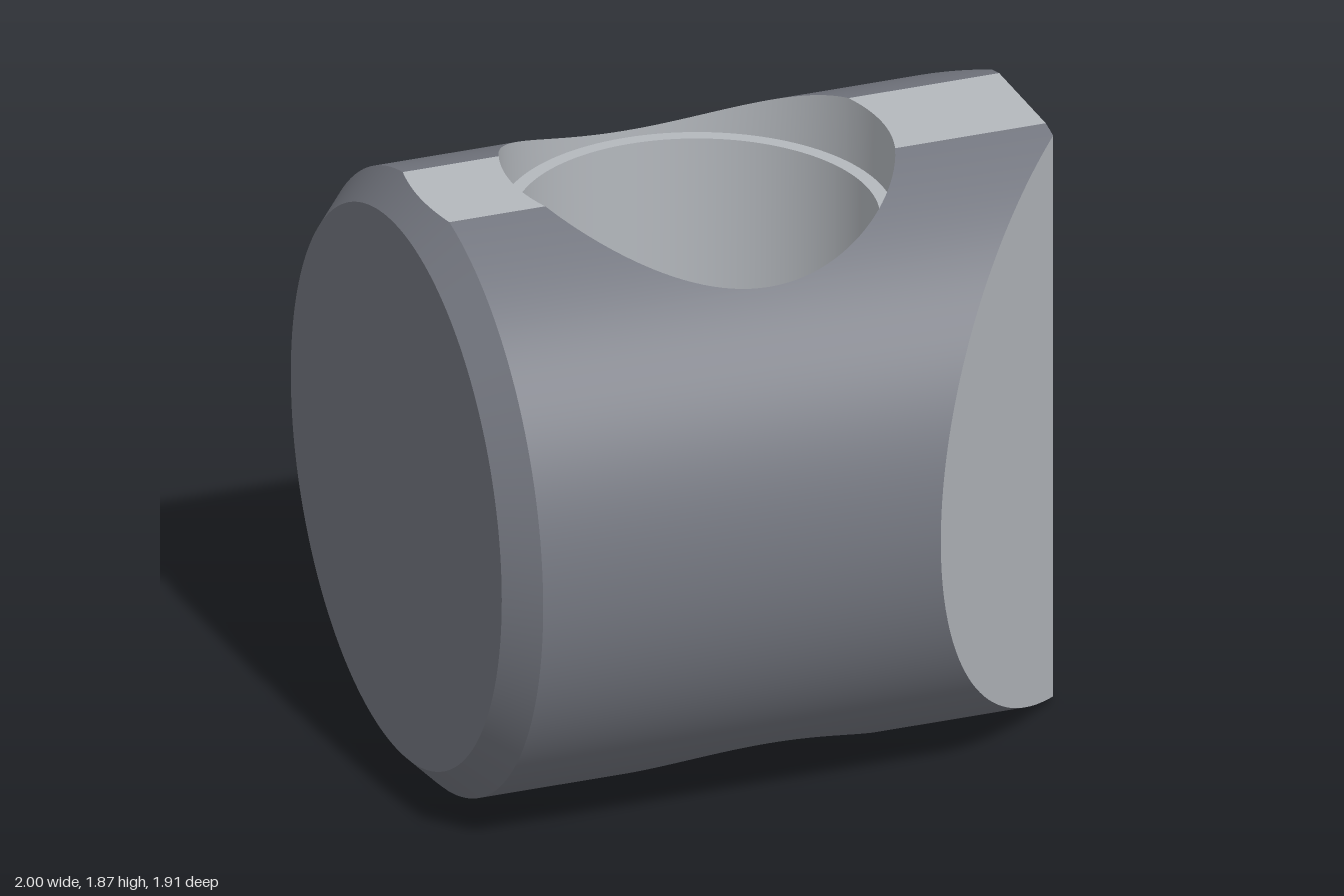
import * as THREE from 'three';
import { toCreasedNormals } from 'three/addons/utils/BufferGeometryUtils.js';

const R = 0.953;          // barrel radius (axis along x)
const FLAT = 0.934;       // half height, cut by the top and bottom flats
const FLAT_Z = Math.sqrt(R * R - FLAT * FLAT); // half width of the flats
const CHAMFER = 0.095;    // chamfer at the round end
const HOLE_X = -0.04;     // centre of the vertical hole
const SINK = 0.59;        // counterbore radius
const BORE = 0.545;       // through-hole radius
const FLOOR = 0.725;      // counterbore floor, measured from the axis
const NOSE = 0.25;        // half width of the wedge's nose

// Stations across z: dense around the hole, then even in angle to the sides
function stations() {
  const z = [FLAT_Z, NOSE];
  const n = 32, a0 = Math.asin(SINK / R);
  for (let i = 1; i <= n; i++) {
    z.push(SINK * Math.sin((i / n) * Math.PI / 2));
    z.push(i === n ? R : R * Math.sin(a0 + (i / n) * (Math.PI / 2 - a0)));
  }
  return [...z.map((v) => -v), 0, ...z].sort((a, b) => a - b);
}

const height = (z) => Math.min(FLAT, Math.sqrt(Math.max(0, R * R - z * z)));
const holeHalf = (z) => Math.sqrt(Math.max(0, SINK * SINK - z * z));
const wedgeX = (z) => Math.min(1, 1 - (Math.abs(z) - NOSE) * 0.635 / (R - NOSE));

// Ruled surface between two edges given as functions of the station z
function strip(out, zs, edgeA, edgeB, flip) {
  for (let i = 0; i + 1 < zs.length; i++) {
    const a = edgeA(zs[i]), b = edgeB(zs[i]);
    const c = edgeB(zs[i + 1]), d = edgeA(zs[i + 1]);
    const corners = flip ? [a, c, b, a, d, c] : [a, b, c, a, c, d];
    corners.forEach((p) => out.push(...p));
  }
}

function toMesh(name, points, material) {
  const geometry = new THREE.BufferGeometry();
  geometry.setAttribute('position', new THREE.Float32BufferAttribute(points, 3));
  const mesh = new THREE.Mesh(toCreasedNormals(geometry, 0.12), material);
  mesh.name = name;
  mesh.position.y = FLAT;
  return mesh;
}

export function createModel() {
  const group = new THREE.Group();
  group.name = 'crossDrilledBarrel';
  const darkSteel = new THREE.MeshStandardMaterial({ color: 0x747780 });
  const cutSteel = new THREE.MeshStandardMaterial({ color: 0xb4b8bd });
  const zs = stations();
  const within = (half) => zs.filter((z) => Math.abs(z) <= half);
  const beyond = (half) => [zs.filter((z) => z <= -half), zs.filter((z) => z >= half)];
  const holeZs = within(SINK);

  // Edge of the round end face, and the start of the barrel behind its chamfer
  const capEdge = (s) => (z) => {
    const k = (R - CHAMFER) / Math.hypot(height(z), z);
    return [-1, s * height(z) * k, z * k];
  };
  const shoulder = (s) => (z) =>
    [-1 + CHAMFER - (R - Math.hypot(height(z), z)), s * height(z), z];
  const rim = (s, side) => (z) => [HOLE_X + side * holeHalf(z), s * height(z), z];
  const wedgeEdge = (s) => (z) => [wedgeX(z), s * height(z), z];

  // Barrel skin, flats and chamfer, above and below
  const barrel = [], flats = [], chamfer = [];
  for (const s of [1, -1]) {
    const skin = (out, span) => {
      strip(out, span, shoulder(s), rim(s, -1), s > 0);
      strip(out, span, rim(s, 1), wedgeEdge(s), s > 0);
    };
    beyond(FLAT_Z).forEach((span) => skin(barrel, span));
    skin(flats, within(FLAT_Z));
    strip(chamfer, zs, capEdge(s), shoulder(s), s > 0);
  }

  // Round end face, narrow nose and the two slanted cuts beside it
  const endCap = [], nose = [], slants = [];
  strip(endCap, zs, capEdge(-1), capEdge(1), true);
  strip(nose, within(NOSE), wedgeEdge(-1), wedgeEdge(1), false);
  beyond(NOSE).forEach((span) => strip(slants, span, wedgeEdge(-1), wedgeEdge(1), false));

  // Hole: counterbore walls and floors at both ends, joined by the bore
  const counterbore = [], bore = [];
  const ring = (r, y, side) => (z) =>
    [HOLE_X + side * holeHalf(z) * r / SINK, y, z * r / SINK];
  for (const side of [1, -1]) {
    for (const s of [1, -1]) {
      const outer = ring(SINK, s * FLOOR, side);
      strip(counterbore, holeZs, outer, rim(s, side), side * s > 0);
      strip(counterbore, holeZs, ring(BORE, s * FLOOR, side), outer, side * s > 0);
    }
    strip(bore, holeZs, ring(BORE, -FLOOR, side), ring(BORE, FLOOR, side), side > 0);
  }

  const addParts = (parts, material) => {
    for (const [name, points] of Object.entries(parts)) {
      group.add(toMesh(name, points, material));
    }
  };
  addParts({ barrel, chamfer, endCap, nose }, darkSteel);
  addParts({ flats, slants, counterbore, bore }, cutSteel);
  return group;
}
